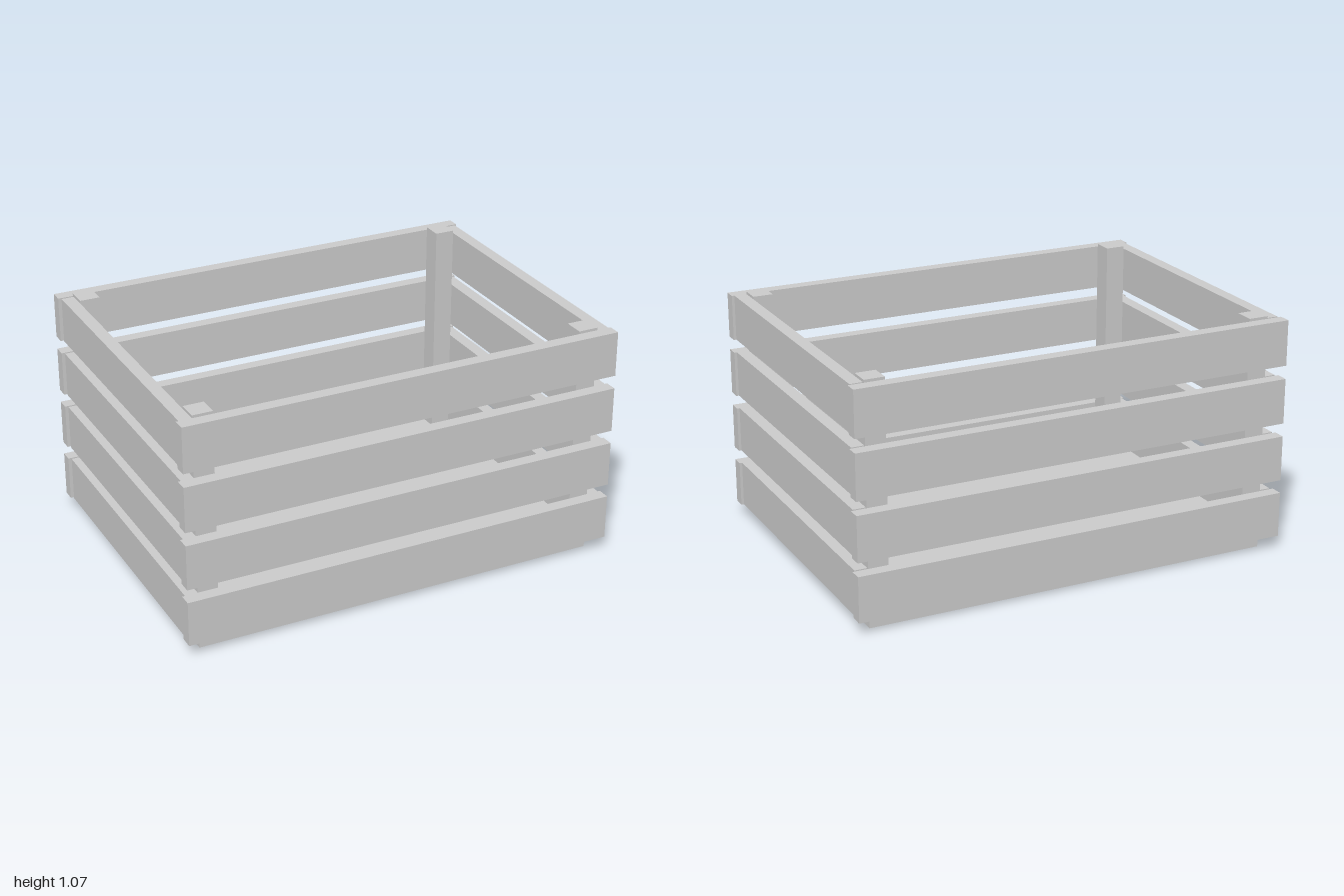
import * as THREE from 'three';

const material = new THREE.MeshStandardMaterial({ color: 0xcccccc, flatShading: true });

// Box given by its lower and upper limits on each axis
function board(name, [x0, x1], [y0, y1], [z0, z1]) {
  const mesh = new THREE.Mesh(new THREE.BoxGeometry(x1 - x0, y1 - y0, z1 - z0), material);
  mesh.position.set((x0 + x1) / 2, (y0 + y1) / 2, (z0 + z1) / 2);
  mesh.name = name;
  return mesh;
}

// Range on one axis, flipped to the other side when s is -1
const span = (s, a, b) => (s > 0 ? [a, b] : [-b, -a]);

export function createModel() {
  const crate = new THREE.Group();
  crate.name = 'slattedCrate';

  const innerX = 0.932, innerZ = 0.667;
  const slatHeight = 0.204, slatPitch = 0.264, firstSlat = 0.06;

  // Floor panel
  crate.add(board('floor', [-innerX, innerX], [0, 0.06], [-innerZ, innerZ]));

  // Corner posts, standing on the floor
  for (const sx of [-1, 1]) {
    for (const sz of [-1, 1]) {
      const name = (sz > 0 ? 'front' : 'back') + (sx > 0 ? 'Left' : 'Right') + 'Post';
      crate.add(board(name, span(sx, 0.842, innerX), [0.06, 1.068], span(sz, 0.575, innerZ)));
    }
  }

  // Four rows of slats around the posts
  for (let i = 0; i < 4; i++) {
    const y0 = firstSlat + i * slatPitch;
    const y = [y0, y0 + slatHeight];
    for (const s of [-1, 1]) {
      // Long slats reach past the corners
      crate.add(board((s > 0 ? 'front' : 'back') + 'Slat' + (i + 1), [-1, 1], y, span(s, innerZ, 0.724)));
      // Side slats stop just short of the back ones
      crate.add(board((s > 0 ? 'left' : 'right') + 'Slat' + (i + 1), span(s, innerX, 0.988), y, [-0.657, innerZ]));
    }
  }
  return crate;
}
